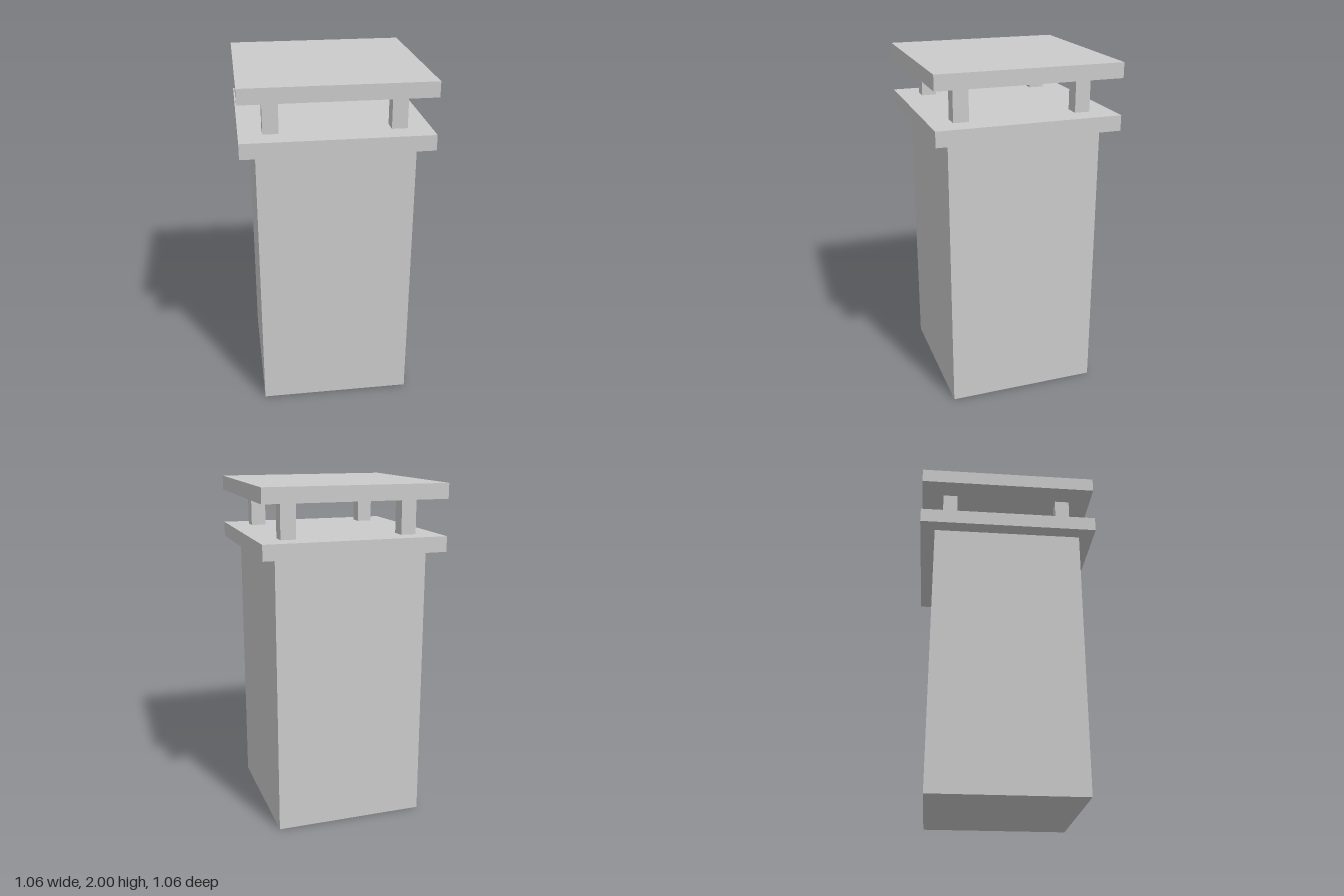
import * as THREE from 'three';

export function createModel() {
  const model = new THREE.Group();
  model.name = 'chimney';
  const material = new THREE.MeshStandardMaterial({ color: 0xcccccc, flatShading: true });

  // Square block spanning y0 to y1
  function block(name, width, y0, y1, x = 0, z = 0) {
    const mesh = new THREE.Mesh(new THREE.BoxGeometry(width, y1 - y0, width), material);
    mesh.name = name;
    mesh.position.set(x, (y0 + y1) / 2, z);
    model.add(mesh);
  }

  block('shaft', 0.885, 0, 1.62);
  block('lowerSlab', 1.058, 1.62, 1.708);
  block('capSlab', 1.058, 1.914, 2);

  // Four corner posts holding up the cap
  for (const [sx, xName] of [[1, 'Left'], [-1, 'Right']]) {
    for (const [sz, zName] of [[1, 'front'], [-1, 'back']]) {
      block(`${zName}${xName}Post`, 0.088, 1.708, 1.914, sx * 0.353, sz * 0.353);
    }
  }

  return model;
}
